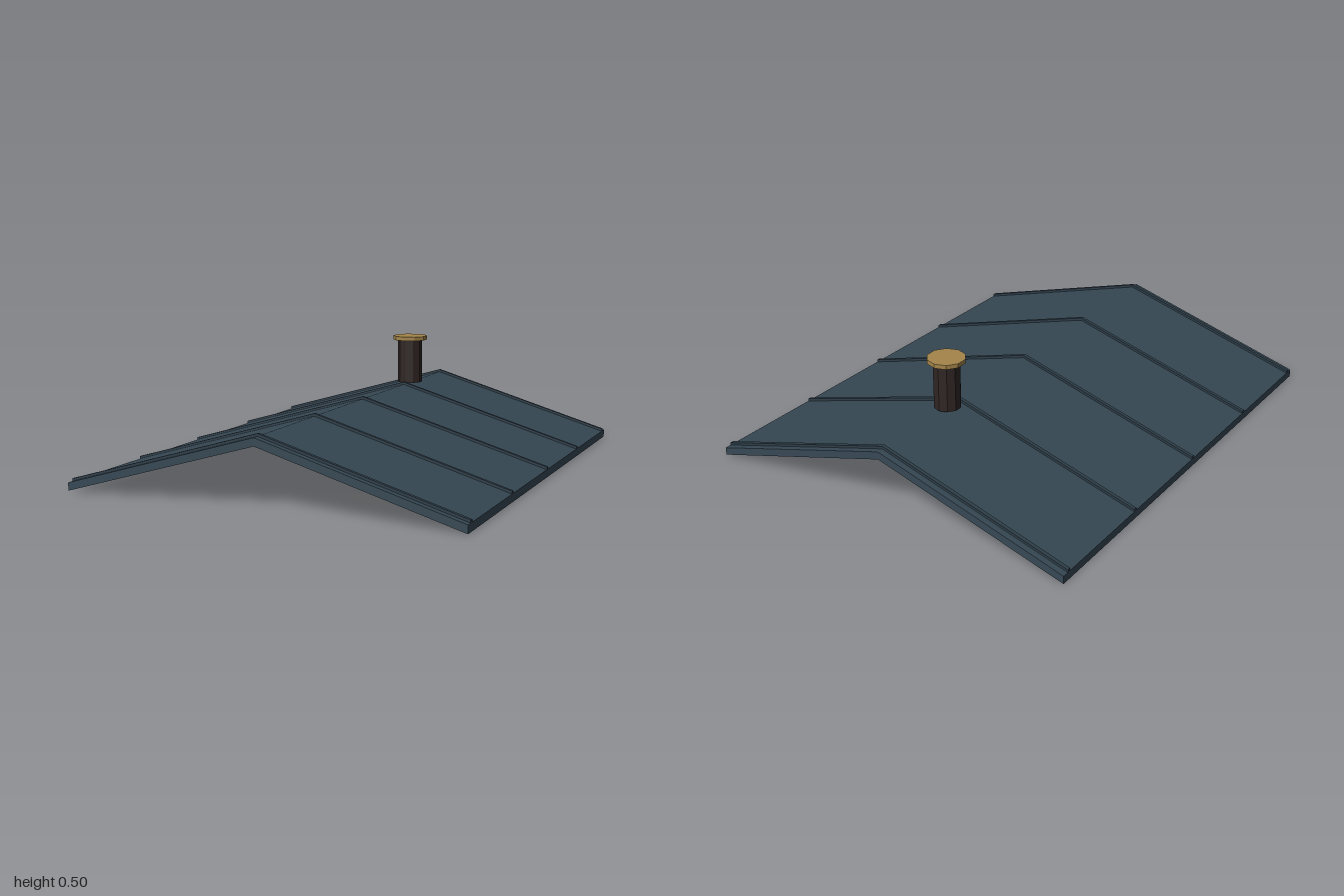
import * as THREE from 'three';

const HALF_WIDTH = 0.833;

// Bent strip following the roof slope, lifted by base, extruded along z about its centre
function chevron(base, thickness, depth) {
  const eave = base, ridge = base + 0.243;
  const shape = new THREE.Shape([
    [-HALF_WIDTH, eave], [0, ridge], [HALF_WIDTH, eave],
    [HALF_WIDTH, eave + thickness], [0, ridge + thickness], [-HALF_WIDTH, eave + thickness],
  ].map(([x, y]) => new THREE.Vector2(x, y)));
  const geometry = new THREE.ExtrudeGeometry(shape, { depth, bevelEnabled: false });
  return geometry.translate(0, 0, -depth / 2);
}

function material(name, color) {
  const m = new THREE.MeshStandardMaterial({ color, flatShading: true });
  m.name = name;
  return m;
}

export function createModel() {
  const model = new THREE.Group();
  model.name = 'roof';
  const slate = material('slate blue', 0x364854);
  const seam = material('dark slate', 0x2e3e49);
  const iron = material('dark iron', 0x2f2624);
  const brass = material('brass', 0xa5854a);

  const add = (name, geometry, mat, x = 0, y = 0, z = 0) => {
    const mesh = new THREE.Mesh(geometry, mat);
    mesh.name = name;
    mesh.position.set(x, y, z);
    model.add(mesh);
  };

  // Two sloping panels meeting at the ridge
  add('roofPanels', chevron(0, 0.033, 2), slate);

  // Raised seams running over the ridge
  const seamGeometry = chevron(0.032, 0.012, 0.016);
  for (let i = -2; i <= 2; i++) add('roofSeam', seamGeometry, seam, 0, 0, i * 0.482);

  // Vent pipe with a flat cap
  add('ventPipe', new THREE.CylinderGeometry(0.057, 0.057, 0.2, 10), iron, 0, 0.38, -0.557);
  add('ventCap', new THREE.CylinderGeometry(0.08, 0.08, 0.018, 10), brass, 0, 0.489, -0.557);

  return model;
}
